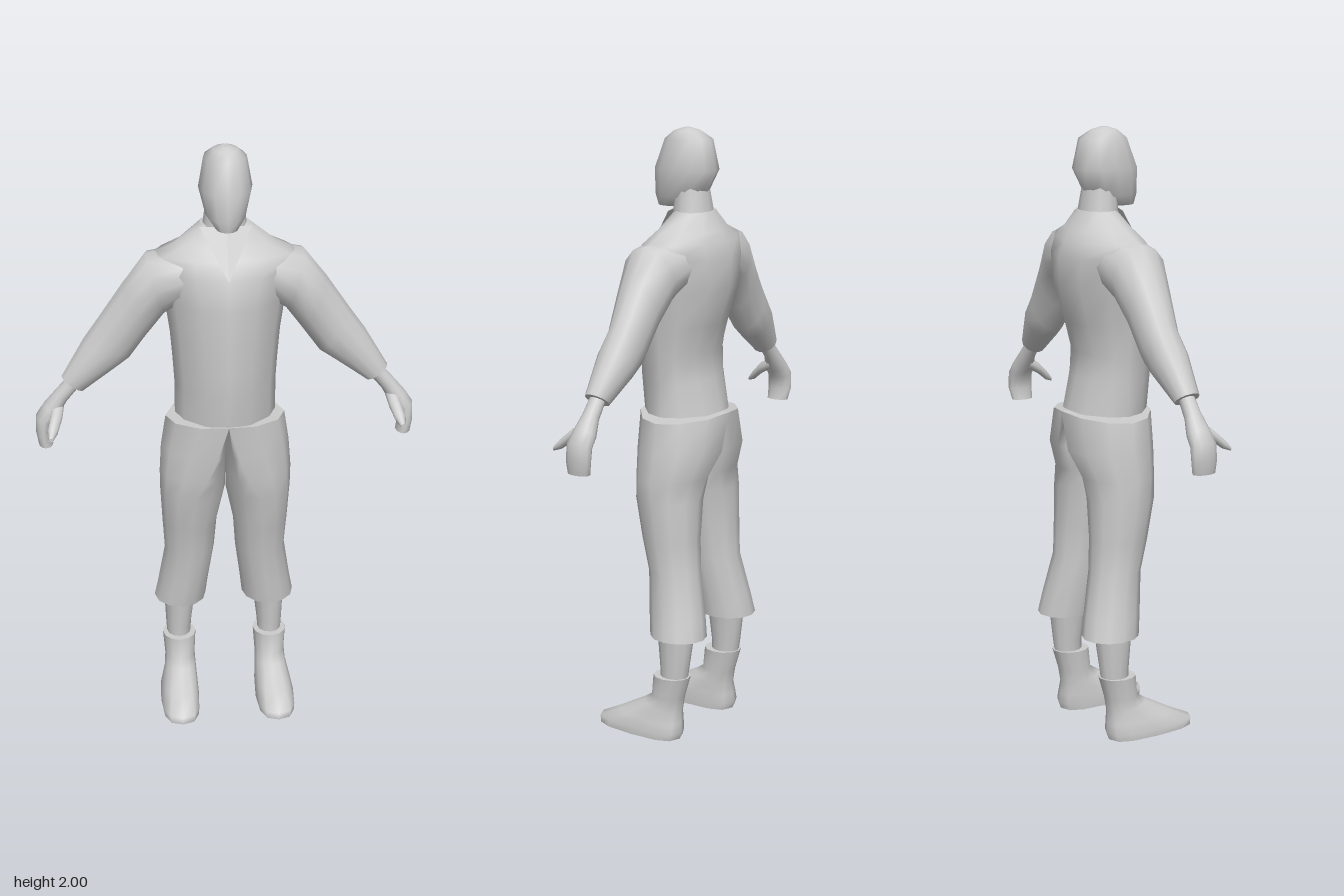
import * as THREE from 'three';

const N = 12;
const V = (x, y, z) => new THREE.Vector3(x, y, z);
const pow = (v, n) => Math.sign(v) * Math.abs(v) ** (2 / n);

// Level ring: left/right edges x0..x1, back/front edges zb..zf, widest at (cx, mid).
// n sets roundness (2 = ellipse), tilt raises the front edge.
function level(y, x0, x1, zb, zf, { cx = (x0 + x1) / 2, mid = (zb + zf) / 2, n = 2, tilt = 0 } = {}) {
  return Array.from({ length: N }, (_, i) => {
    const s = pow(Math.sin(i / N * 2 * Math.PI), n), c = pow(Math.cos(i / N * 2 * Math.PI), n);
    return V(cx + s * (s > 0 ? x1 - cx : cx - x0), y + c * tilt, mid + c * (c > 0 ? zf - mid : mid - zb));
  });
}

// Limb ring: spans an upper and a lower outline point, and zb..zf in depth
function limb(xt, yt, xb, yb, zb, zf) {
  return Array.from({ length: N }, (_, i) => {
    const s = Math.sin(i / N * 2 * Math.PI), c = Math.cos(i / N * 2 * Math.PI);
    return V((xt + xb + c * (xt - xb)) / 2, (yt + yb + c * (yt - yb)) / 2, (zf + zb + s * (zf - zb)) / 2);
  });
}

// Smooth skin through rings, with crisp flat end caps
function loft(name, rings, side = 1) {
  if (side < 0) rings = rings.map(r => r.map(p => V(-p.x, p.y, p.z)).reverse());
  const pos = [], idx = [];
  const put = p => pos.push(p.x, p.y, p.z) / 3 - 1;
  rings.forEach(r => r.forEach(put));
  for (let j = 0; j < rings.length - 1; j++) {
    for (let i = 0; i < N; i++) {
      const a = j * N + i, b = j * N + (i + 1) % N;
      idx.push(a, b, b + N, a, b + N, a + N);
    }
  }
  [rings[0], rings.at(-1)].forEach((r, end) => {
    const mid = put(r.reduce((s, p) => s.add(p), V(0, 0, 0)).divideScalar(N));
    r.forEach(put);
    for (let i = 0; i < N; i++) {
      const a = mid + 1 + i, b = mid + 1 + (i + 1) % N;
      idx.push(mid, end ? a : b, end ? b : a);
    }
  });
  const geo = new THREE.BufferGeometry();
  geo.setAttribute('position', new THREE.Float32BufferAttribute(pos, 3));
  geo.setIndex(idx);
  geo.computeVertexNormals();
  // Keep shading continuous where two halves meet on the centre line
  const nor = geo.attributes.normal;
  const v = V(0, 0, 0);
  for (let i = 0; i < nor.count; i++) {
    v.fromBufferAttribute(nor, i);
    if (Math.abs(pos[i * 3]) < 1e-4 && Math.abs(v.z) > 0.1) {
      v.setX(0).normalize();
      nor.setXYZ(i, v.x, v.y, v.z);
    }
  }
  const mesh = new THREE.Mesh(geo, new THREE.MeshStandardMaterial({ color: 0xcccccc }));
  mesh.name = name;
  return mesh;
}

const sym = (y, w, zb, zf, o) => level(y, -w, w, zb, zf, o);

export function createModel() {
  const model = new THREE.Group();

  // Head and neck
  model.add(loft('head', [
    sym(1.75, 0.035, -0.01, 0.075),
    sym(1.785, 0.064, -0.095, 0.083),
    sym(1.87, 0.085, -0.137, 0.082),
    sym(1.965, 0.068, -0.115, 0.045),
    sym(1.99, 0.04, -0.075, 0.015),
    sym(2.0, 0.012, -0.045, -0.015),
  ]));
  model.add(loft('neck', [
    sym(1.68, 0.085, -0.12, 0.02),
    sym(1.74, 0.07, -0.115, 0.01),
    sym(1.82, 0.06, -0.1, 0.01),
  ]));

  // Shirt body
  const lens = { n: 1.7, mid: -0.035 };
  model.add(loft('shirt', [
    sym(1.09, 0.165, -0.163, 0.11, lens),
    sym(1.2, 0.165, -0.135, 0.123, lens),
    sym(1.28, 0.17, -0.123, 0.125, lens),
    sym(1.38, 0.178, -0.152, 0.125, lens),
    sym(1.5, 0.195, -0.192, 0.122, lens),
    sym(1.6, 0.225, -0.195, 0.11, lens),
    sym(1.65, 0.235, -0.175, 0.07, lens),
    sym(1.68, 0.165, -0.16, 0.045, lens),
    sym(1.74, 0.08, -0.12, 0.0, { mid: -0.06 }),
  ]));

  // V-shaped neck opening
  const opening = new THREE.BufferGeometry().setFromPoints([
    V(0, 1.6, 0.114), V(0.083, 1.742, -0.01), V(0, 1.745, 0.012),
    V(0, 1.6, 0.114), V(0, 1.745, 0.012), V(-0.083, 1.742, -0.01),
  ]);
  opening.computeVertexNormals();
  const openingMesh = new THREE.Mesh(opening,
    new THREE.MeshStandardMaterial({ color: 0xcccccc, side: THREE.DoubleSide }));
  openingMesh.name = 'neckOpening';
  model.add(openingMesh);

  for (const side of [1, -1]) {
    const label = side > 0 ? 'left' : 'right';
    const add = (part, rings) => model.add(loft(label + part, rings, side));

    // Sleeve, from inside the shoulder to the cuff
    add('Sleeve', [
      limb(0.13, 1.67, 0.12, 1.5, -0.14, 0.06),
      limb(0.25, 1.652, 0.195, 1.45, -0.13, 0.06),
      limb(0.325, 1.555, 0.25, 1.375, -0.11, 0.04),
      limb(0.405, 1.435, 0.31, 1.29, -0.1, 0.022),
      limb(0.455, 1.365, 0.36, 1.257, -0.097, 0.027),
      limb(0.53, 1.238, 0.46, 1.188, -0.065, 0.015),
    ]);

    // Hand, curling down to the fingertips
    add('Hand', [
      limb(0.505, 1.24, 0.47, 1.205, -0.05, 0.0),
      limb(0.55, 1.19, 0.515, 1.15, -0.055, 0.0),
      limb(0.592, 1.14, 0.54, 1.105, -0.067, 0.012),
      limb(0.618, 1.1, 0.565, 1.08, -0.07, 0.018),
      limb(0.62, 1.045, 0.573, 1.04, -0.07, 0.02),
      limb(0.612, 1.0, 0.565, 1.0, -0.06, 0.018),
    ]);
    const thumb = (x, y, z, r) => Array.from({ length: N }, (_, i) => {
      const a = i / N * 2 * Math.PI;
      return V(x + r * Math.cos(a), y + r * Math.sin(a), z);
    });
    add('Thumb', [
      thumb(0.545, 1.135, -0.02, 0.02),
      thumb(0.553, 1.11, 0.025, 0.02),
      thumb(0.565, 1.08, 0.06, 0.017),
      thumb(0.572, 1.062, 0.085, 0.007),
    ]);

    // Trouser leg; above the crotch its inner side lies flat on the centre line
    add('TrouserLeg', [
      level(0.36, 0.063, 0.238, -0.19, 0.0),
      level(0.43, 0.055, 0.225, -0.178, 0.01),
      level(0.57, 0.036, 0.203, -0.147, 0.025),
      level(0.68, 0.028, 0.21, -0.143, 0.05),
      level(0.81, 0.001, 0.217, -0.143, 0.077),
      level(0.88, 0, 0.218, -0.15, 0.09, { cx: 0.07 }),
      level(0.97, 0, 0.212, -0.185, 0.102, { cx: 0.035 }),
      level(1.075, 0, 0.196, -0.19, 0.115, { cx: 0, n: 1.8 })
        .map(p => p.setY(1.095 - 0.1 * p.x)),
    ]);

    // Calf and shoe
    add('Calf', [
      level(0.18, 0.118, 0.195, -0.125, -0.035),
      level(0.25, 0.115, 0.2, -0.135, -0.035),
      level(0.4, 0.097, 0.207, -0.155, -0.02),
    ]);
    add('Shoe', [
      level(0.008, 0.1, 0.228, -0.108, 0.198, { n: 2.8, tilt: 0.004 }),
      level(0.032, 0.098, 0.23, -0.115, 0.2, { n: 2.8, tilt: 0.006 }),
      level(0.066, 0.1, 0.222, -0.112, 0.125, { n: 2.5, tilt: 0.008 }),
      level(0.11, 0.103, 0.21, -0.108, 0.03, { tilt: 0.015 }),
      level(0.145, 0.105, 0.207, -0.115, -0.002),
      level(0.22, 0.1, 0.213, -0.137, -0.01),
    ]);
  }
  return model;
}
